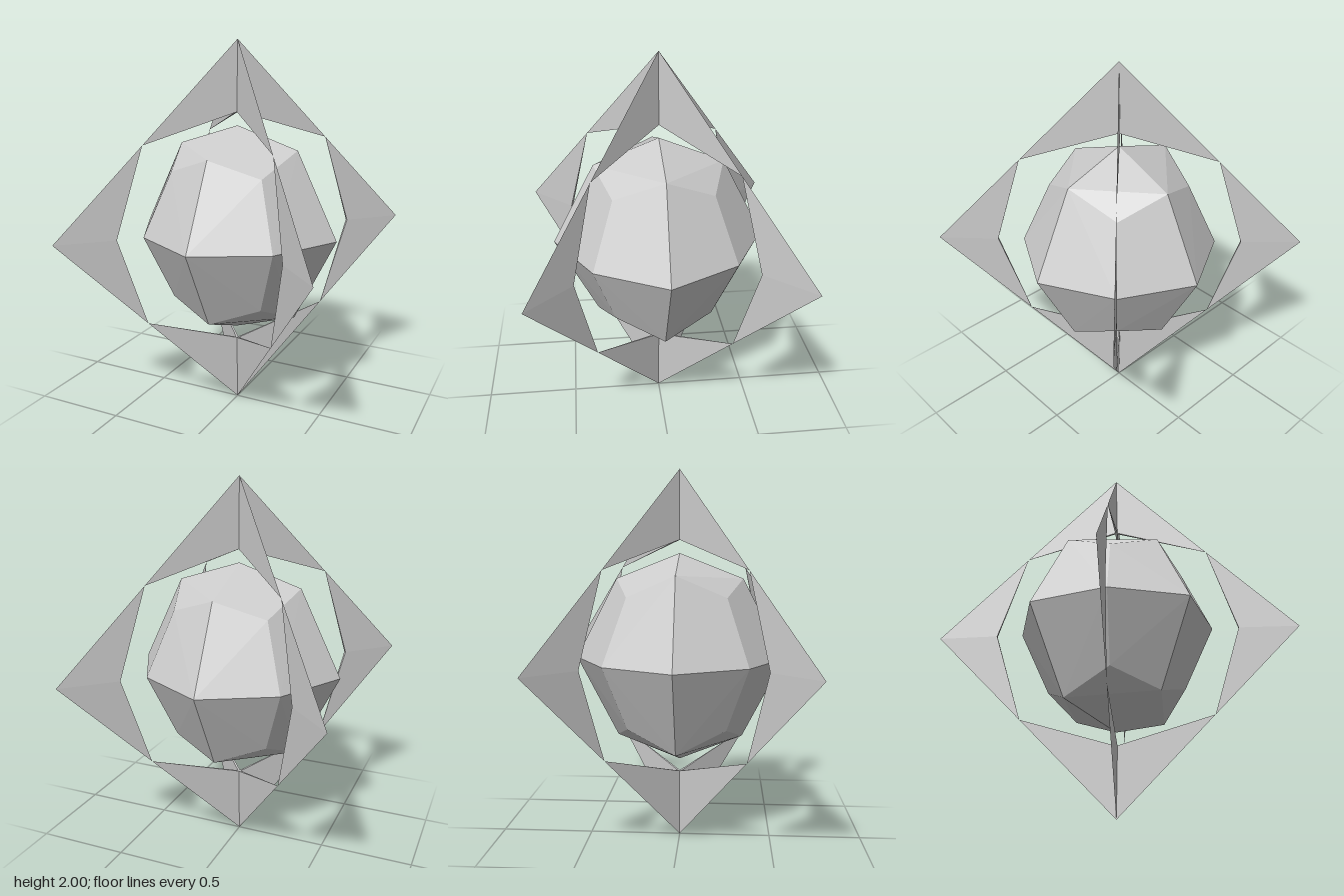
import * as THREE from 'three';
import { ConvexGeometry } from 'three/addons/geometries/ConvexGeometry.js';

const grey = new THREE.MeshStandardMaterial({ color: 0xcccccc });
grey.name = 'stone grey';

// Closed flat-shaded sliver: tip, corner and an inner point given a slight thickness
function sliver(tip, corner, inner, halfThickness) {
  const [a, b] = [tip, corner].map(([x, y]) => new THREE.Vector3(x, y, 0));
  const c = new THREE.Vector3(inner[0], inner[1], halfThickness);
  const d = new THREE.Vector3(inner[0], inner[1], -halfThickness);
  return new ConvexGeometry([a, b, c, d]);
}

// Eight-sided gem: two poles, two shoulder rings and an equator
function gemGeometry() {
  const points = [new THREE.Vector3(0, 1.563, 0), new THREE.Vector3(0, 0.437, 0)];
  for (let i = 0; i < 8; i++) {
    const angle = (i * Math.PI) / 4;
    const diagonal = i % 2 === 1;
    const x = Math.cos(angle), z = Math.sin(angle);
    const equator = diagonal ? 0.518 : 0.563;
    const shoulder = diagonal ? 0.361 : 0.34;
    const rise = diagonal ? 0.34 : i % 4 === 0 ? 0.453 : 0.429;
    points.push(new THREE.Vector3(x * equator, 1, z * equator));
    for (const s of [1, -1]) points.push(new THREE.Vector3(x * shoulder, 1 + s * rise, z * shoulder));
  }
  return new ConvexGeometry(points);
}

export function createModel() {
  const model = new THREE.Group();
  model.name = 'floatingGem';

  const gem = new THREE.Mesh(gemGeometry(), grey);
  gem.name = 'gemCore';
  model.add(gem);

  // Four diagonal fins make two crossed diamond frames around the gem
  for (let i = 0; i < 4; i++) {
    const fin = new THREE.Group();
    fin.name = 'frameFin' + (i + 1);
    fin.rotation.y = Math.PI / 4 + (i * Math.PI) / 2;
    for (const s of [1, -1]) {
      const corner = [0.508, 1 + s * 0.481];
      const point = new THREE.Mesh(sliver([0, 1 + s], corner, [0, 1 + s * 0.635], 0.006), grey);
      point.name = s > 0 ? 'topBlade' : 'bottomBlade';
      const side = new THREE.Mesh(sliver([0.98, 1], corner, [0.658, 1], 0.007), grey);
      side.name = s > 0 ? 'upperSideBlade' : 'lowerSideBlade';
      fin.add(point, side);
    }
    model.add(fin);
  }
  return model;
}
